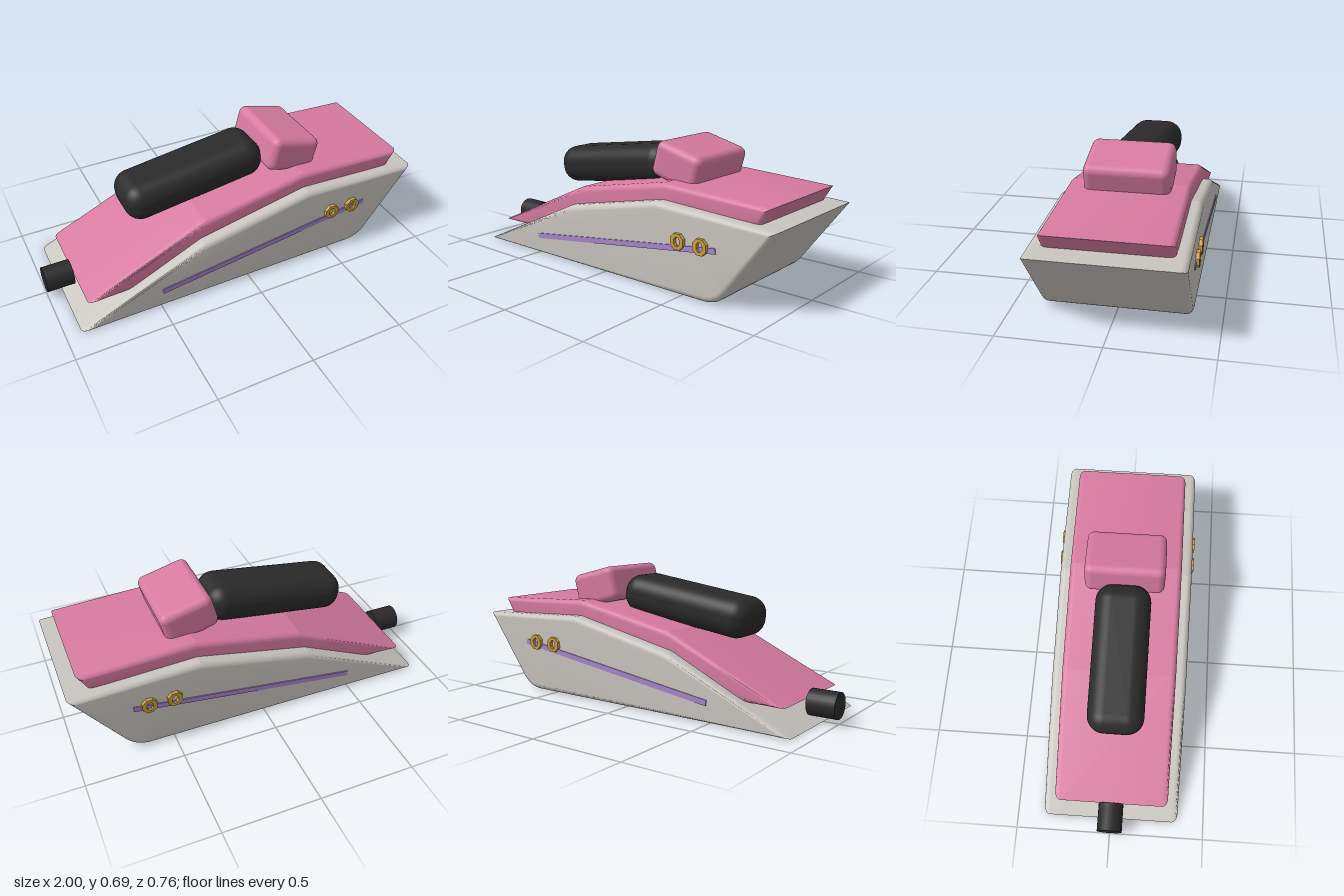
import * as THREE from 'three';
import { toCreasedNormals } from 'three/addons/utils/BufferGeometryUtils.js';
import { RoundedBoxGeometry } from 'three/addons/geometries/RoundedBoxGeometry.js';

const grey = new THREE.MeshStandardMaterial({ name: 'warm grey', color: 0xc8c4bf });
const pink = new THREE.MeshStandardMaterial({ name: 'rose pink', color: 0xd67a9f });
const black = new THREE.MeshStandardMaterial({ name: 'black', color: 0x2a2a2a });
const purple = new THREE.MeshStandardMaterial({ name: 'lavender', color: 0xa586cc });
const gold = new THREE.MeshStandardMaterial({ name: 'gold', color: 0xcda03c });

function addMesh(parent, name, geometry, material, x = 0, y = 0, z = 0, tilt = 0) {
  const mesh = new THREE.Mesh(geometry, material);
  mesh.name = name;
  mesh.position.set(x, y, z);
  mesh.rotation.z = tilt;
  parent.add(mesh);
  return mesh;
}

// Side profile extruded across z, with rounded side edges inside the outline
function slab(shape, halfWidth, bevel) {
  const depth = 2 * (halfWidth - bevel);
  const geometry = new THREE.ExtrudeGeometry(shape, {
    depth, curveSegments: 10, bevelEnabled: true, bevelSegments: 8,
    bevelSize: bevel, bevelThickness: bevel, bevelOffset: -bevel,
  });
  geometry.translate(0, 0, -depth / 2);
  return toCreasedNormals(geometry, 0.22);
}

// Eight-sided ring with a slightly tall hole
function ringGeometry() {
  const octagon = (path, rx, ry) => {
    path.setFromPoints(Array.from({ length: 8 }, (_, i) => {
      const a = (i + 0.5) * Math.PI / 4;
      return new THREE.Vector2(rx * Math.cos(a), ry * Math.sin(a));
    }));
    return path;
  };
  const shape = octagon(new THREE.Shape(), 0.041, 0.042);
  shape.holes.push(octagon(new THREE.Path(), 0.018, 0.025));
  return new THREE.ExtrudeGeometry(shape, { depth: 0.03, bevelEnabled: false });
}

export function createModel() {
  const model = new THREE.Group();
  model.name = 'wedgeVehicle';

  // Wedge hull with a rounded lower nose
  const hull = new THREE.Shape();
  hull.moveTo(-0.92, 0);
  hull.lineTo(0.62, 0);
  hull.bezierCurveTo(0.69, 0, 0.73, 0.03, 0.77, 0.09);
  hull.lineTo(1, 0.405);
  hull.lineTo(0.345, 0.435);
  hull.lineTo(-0.25, 0.31);
  hull.closePath();
  addMesh(model, 'hull', slab(hull, 0.36, 0.032), grey);

  // Upper deck following the hull top
  const deck = new THREE.Shape([
    [-0.855, 0.113], [-0.6, 0.113], [0.6, 0.38], [0.88, 0.395],
    [0.935, 0.488], [0.345, 0.515], [-0.22, 0.405],
  ].map(([x, y]) => new THREE.Vector2(x, y)));
  addMesh(model, 'upperDeck', slab(deck, 0.3, 0.03), pink);

  // Tilted head block and padded seat
  addMesh(model, 'headBlock', new RoundedBoxGeometry(0.28, 0.185, 0.42, 5, 0.038),
    pink, 0.338, 0.575, 0, -0.253);
  addMesh(model, 'seat', new RoundedBoxGeometry(0.77, 0.2, 0.29, 6, 0.088),
    black, -0.175, 0.505, 0, 0.142);

  // Tail pipe
  addMesh(model, 'tailPipe', new THREE.CylinderGeometry(0.066, 0.066, 0.145, 24),
    black, -0.9275, 0.088, 0, Math.PI / 2);

  // Stripe and two rings on both sides
  const ring = ringGeometry();
  const stripe = new THREE.BoxGeometry(1.2, 0.028, 0.009);
  for (const side of [1, -1]) {
    const trim = new THREE.Group();
    trim.name = side > 0 ? 'frontTrim' : 'backTrim';
    addMesh(trim, 'stripe', stripe, purple, 0.105, 0.183, side * 0.3605, 0.139);
    for (const x of [0.49, 0.62]) {
      addMesh(trim, 'ring', ring, gold, x, 0.271, side > 0 ? 0.348 : -0.378);
    }
    model.add(trim);
  }
  return model;
}
